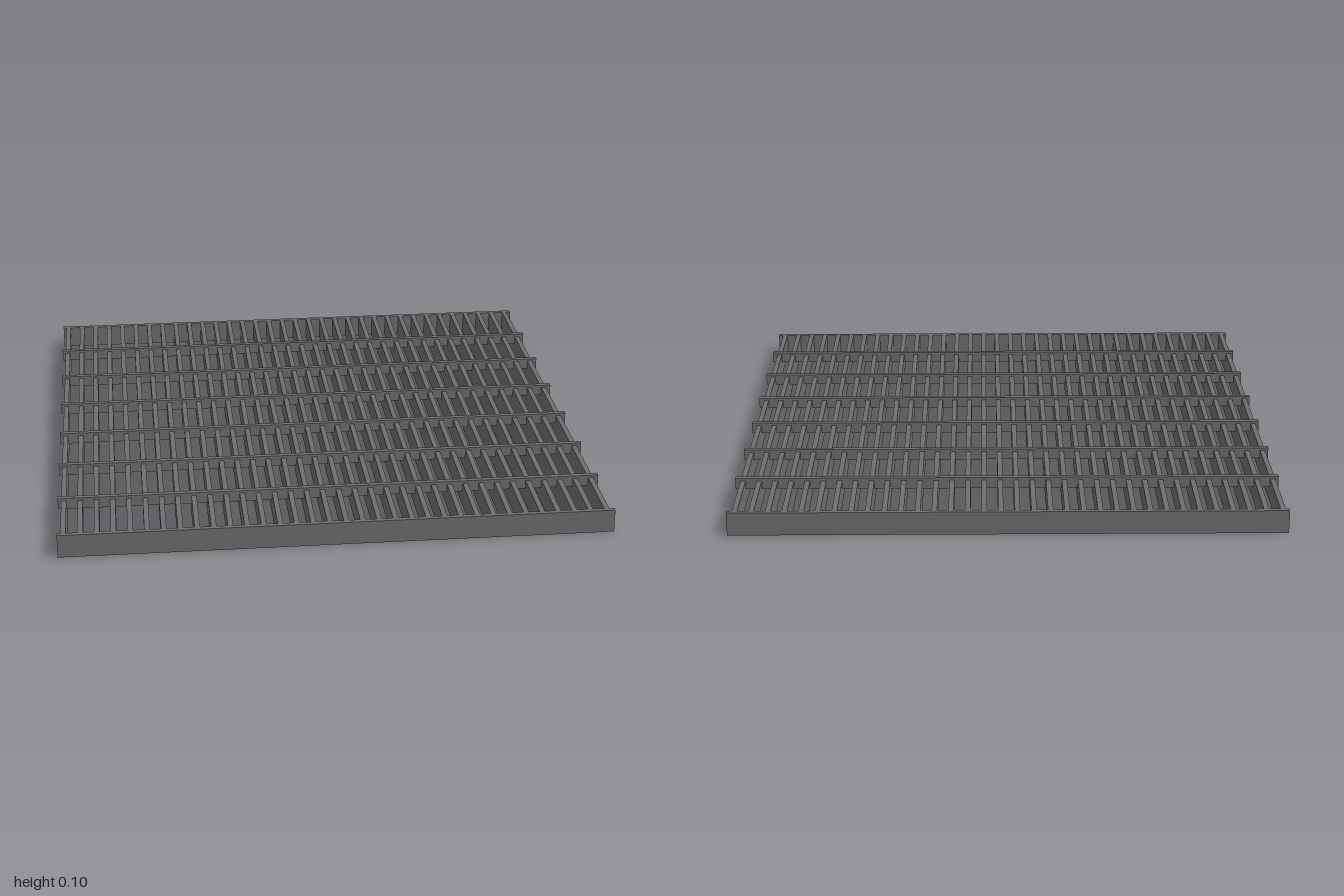
import * as THREE from 'three';

export function createModel() {
  const model = new THREE.Group();
  model.name = 'floorGrating';
  const steel = new THREE.MeshStandardMaterial({ color: 0x6e6e6e });
  steel.name = 'grey steel';

  function addBox(name, w, h, d, x, y, z) {
    const mesh = new THREE.Mesh(new THREE.BoxGeometry(w, h, d), steel);
    mesh.name = name;
    mesh.position.set(x, y, z);
    model.add(mesh);
  }

  const width = 1.99, barHeight = 0.086, plate = 0.018;

  // Banding plates closing the front and back
  for (const side of [1, -1]) {
    addBox(side > 0 ? 'frontPlate' : 'backPlate',
      width, barHeight, plate, 0, barHeight / 2, side * (1 - plate / 2));
  }

  // Upright bearing bars running front to back
  const bars = 34;
  for (let i = 0; i < bars; i++) {
    const x = -0.973 + (i * 1.94) / (bars - 1);
    addBox('bearingBar', 0.019, barHeight, 2 - 2 * plate, x, barHeight / 2, 0);
  }

  // Cross rods set into the top of the bars
  for (let i = 0; i < 6; i++) {
    addBox('crossRod', width, 0.042, 0.019, 0, 0.075, 0.72 - i * 0.2834);
  }
  return model;
}
